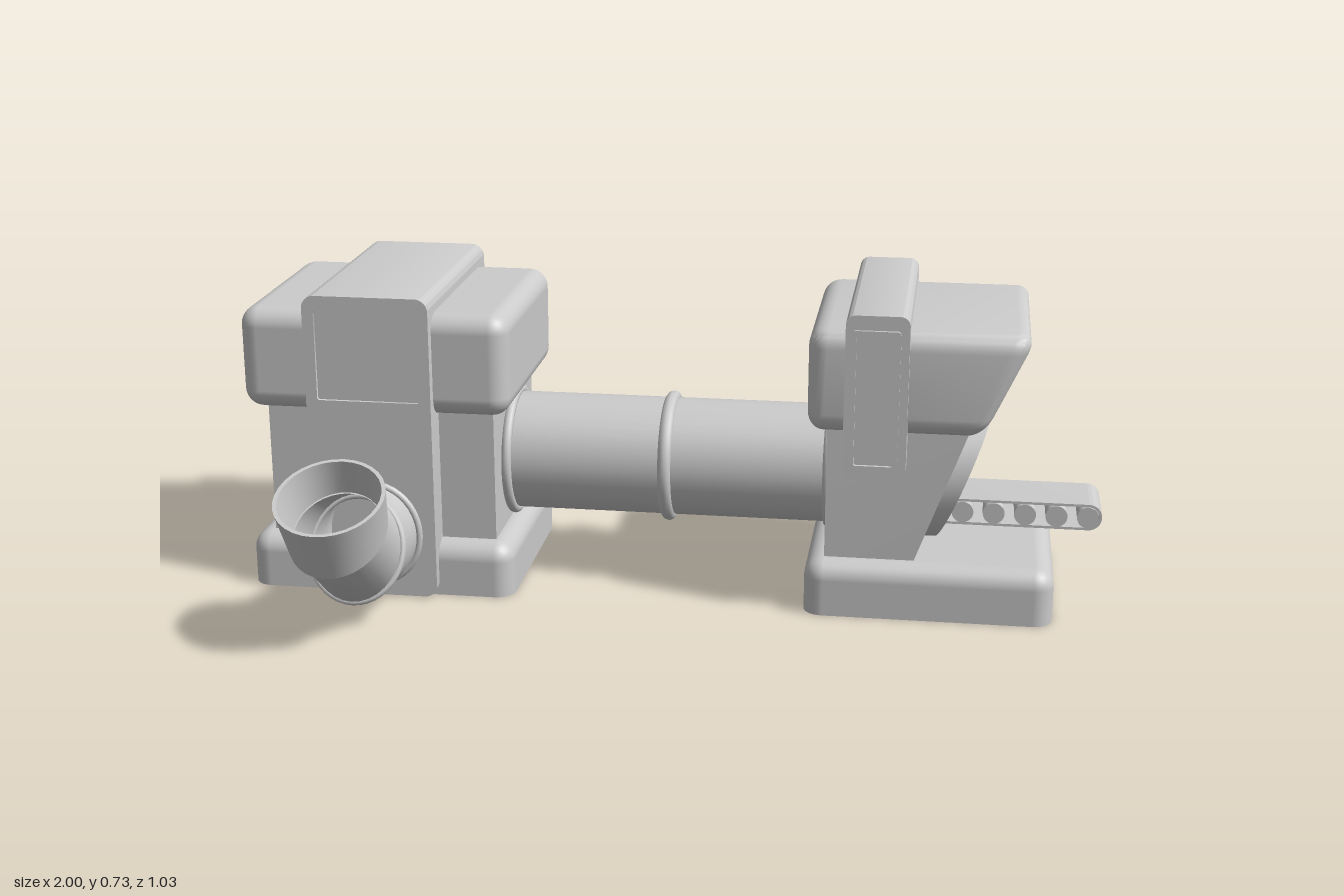
import * as THREE from 'three';
import { toCreasedNormals } from 'three/addons/utils/BufferGeometryUtils.js';
import { RoundedBoxGeometry } from 'three/addons/geometries/RoundedBoxGeometry.js';

const grey = new THREE.MeshStandardMaterial({ color: 0xcccccc, side: THREE.DoubleSide });
const TUBE_Y = 0.285, TUBE_Z = -0.232, TUBE_R = 0.141;

function add(parent, name, geometry) {
  const mesh = new THREE.Mesh(geometry, grey);
  mesh.name = name;
  parent.add(mesh);
  return mesh;
}

// Move every vertex by a rule
function warp(geo, rule) {
  const p = geo.attributes.position, v = new THREE.Vector3();
  for (let i = 0; i < p.count; i++) {
    rule(v.fromBufferAttribute(p, i));
    p.setXYZ(i, v.x, v.y, v.z);
  }
  return toCreasedNormals(geo, 0.6);
}

function boxBetween(x0, x1, y0, y1, z0, z1, r = 0) {
  const size = [x1 - x0, y1 - y0, z1 - z0];
  const geo = r ? new RoundedBoxGeometry(...size, 4, r) : new THREE.BoxGeometry(...size);
  return geo.translate((x0 + x1) / 2, (y0 + y1) / 2, (z0 + z1) / 2);
}

function roundRect(x0, x1, y0, y1, r, Kind = THREE.Shape) {
  const s = new Kind();
  s.moveTo(x0 + r, y0).lineTo(x1 - r, y0);
  s.absarc(x1 - r, y0 + r, r, -Math.PI / 2, 0);
  s.lineTo(x1, y1 - r).absarc(x1 - r, y1 - r, r, 0, Math.PI / 2);
  s.lineTo(x0 + r, y1).absarc(x0 + r, y1 - r, r, Math.PI / 2, Math.PI);
  s.lineTo(x0, y0 + r).absarc(x0 + r, y0 + r, r, Math.PI, Math.PI * 1.5);
  return s;
}

function circle(x, y, r, Kind = THREE.Path) {
  return new Kind().absarc(x, y, r, 0, Math.PI * 2, false);
}

function extrude(shape, z0, z1, curveSegments = 8) {
  const geo = new THREE.ExtrudeGeometry(shape, { depth: z1 - z0, bevelEnabled: false, curveSegments });
  return toCreasedNormals(geo.translate(0, 0, z0), 0.6);
}

// Rounded plinth, open underneath
function plinth(x0, x1) {
  const src = boxBetween(x0, x1, -0.13, 0.13, -0.49, 0.035, 0.045);
  const p = src.attributes.position, n = src.attributes.normal, pos = [], nor = [];
  for (let i = 0; i < p.count; i += 3) {
    if (Math.max(p.getY(i), p.getY(i + 1), p.getY(i + 2)) <= 0) continue;
    for (let k = i; k < i + 3; k++) {
      pos.push(p.getX(k), Math.max(0, p.getY(k)), p.getZ(k));
      nor.push(n.getX(k), n.getY(k), n.getZ(k));
    }
  }
  const geo = new THREE.BufferGeometry();
  geo.setAttribute('position', new THREE.Float32BufferAttribute(pos, 3));
  geo.setAttribute('normal', new THREE.Float32BufferAttribute(nor, 3));
  return geo;
}

// Skin through elliptical sections in the z-y plane: [z, y, tilt in degrees, radius, x radius]
function loftPipe(sections, cx, n = 32) {
  const pos = [], index = [];
  sections.forEach(([z, y, deg, r, rx], j) => {
    const a = THREE.MathUtils.degToRad(deg);
    for (let i = 0; i < n; i++) {
      const t = (i / n) * Math.PI * 2, u = Math.sin(t) * r;
      pos.push(cx + Math.cos(t) * rx, y + u * Math.cos(a), z - u * Math.sin(a));
      if (j) {
        const b = j * n + i, b2 = j * n + (i + 1) % n;
        index.push(b - n, b2 - n, b2, b - n, b2, b);
      }
    }
  });
  const geo = new THREE.BufferGeometry();
  geo.setAttribute('position', new THREE.Float32BufferAttribute(pos, 3));
  geo.setIndex(index);
  return toCreasedNormals(geo, 0.6);
}

function tubeRing(parent, name, x, r, thick) {
  const ring = add(parent, name, new THREE.TorusGeometry(r, thick, 10, 40));
  ring.rotation.y = Math.PI / 2;
  ring.position.set(x, TUBE_Y, TUBE_Z);
}

function tower() {
  const g = new THREE.Group();
  g.name = 'tower';
  add(g, 'towerPlinth', plinth(-1, -0.365));
  add(g, 'towerBody', boxBetween(-0.95, -0.41, 0.1, 0.48, -0.445, -0.01));
  add(g, 'towerRoof', boxBetween(-1, -0.365, 0.44, 0.682, -0.49, 0.035, 0.045));
  // Band wrapped front to back, with a recessed front panel
  add(g, 'towerBand', extrude(roundRect(-0.835, -0.54, 0.003, 0.725, 0.03), -0.515, 0.052));
  const face = roundRect(-0.835, -0.54, 0.003, 0.725, 0.03);
  face.holes.push(roundRect(-0.808, -0.567, 0.478, 0.69, 0.006, THREE.Path));
  add(g, 'towerBandFace', extrude(face, 0.052, 0.06));
  return g;
}

function spout() {
  const g = new THREE.Group();
  g.name = 'spout';
  const cx = -0.688;
  add(g, 'spoutPipe', loftPipe([
    [0.05, 0.157, 0, 0.119, 0.105], [0.1, 0.156, 5, 0.119, 0.105],
    [0.203, 0.172, 24, 0.124, 0.105], [0.335, 0.262, 60, 0.118, 0.105],
  ], cx));
  // Flared cup with a wall thickness
  add(g, 'spoutCup', loftPipe([
    [0.332, 0.26, 60, 0.112, 0.1], [0.332, 0.26, 60, 0.134, 0.11],
    [0.386, 0.36, 70, 0.134, 0.123], [0.386, 0.36, 70, 0.125, 0.114],
    [0.335, 0.264, 60, 0.112, 0.1],
  ], cx));
  const joint = add(g, 'spoutJointRing', new THREE.TorusGeometry(0.122, 0.008, 10, 40));
  joint.scale.x = 0.89;
  joint.position.set(cx, 0.172, 0.203);
  joint.rotation.x = -THREE.MathUtils.degToRad(24);
  const foot = add(g, 'spoutFootRing', new THREE.TorusGeometry(0.121, 0.009, 10, 40));
  foot.scale.x = 0.91;
  foot.position.set(cx, 0.157, 0.06);
  return g;
}

function tunnel() {
  const g = new THREE.Group();
  g.name = 'tunnel';
  const tube = add(g, 'tunnelTube', new THREE.CylinderGeometry(TUBE_R, TUBE_R, 0.8, 40, 1, true));
  tube.rotation.z = Math.PI / 2;
  tube.position.set(-0.01, TUBE_Y, TUBE_Z);
  tubeRing(g, 'tunnelMiddleRing', -0.022, 0.141, 0.016);
  tubeRing(g, 'tunnelStartRing', -0.4, 0.145, 0.012);
  tubeRing(g, 'tunnelEndRing', 0.363, 0.145, 0.012);
  return g;
}

function outlet() {
  const g = new THREE.Group();
  g.name = 'outlet';
  add(g, 'outletPlinth', plinth(0.32, 0.892));
  // Body with a round passage and a slanted end face
  const wall = roundRect(0.01, 0.445, 0.1, 0.48, 0.001);
  wall.holes.push(circle(-TUBE_Z, TUBE_Y, TUBE_R));
  add(g, 'outletBody', warp(extrude(wall, 0, 1, 20).rotateY(Math.PI / 2), v => {
    v.x = THREE.MathUtils.lerp(0.365, 0.628 + 0.365 * (v.y - TUBE_Y), v.x);
  }));
  // Slanted collar around the mouth
  const collar = circle(-TUBE_Z, TUBE_Y, 0.163, THREE.Shape);
  collar.holes.push(circle(-TUBE_Z, TUBE_Y, TUBE_R));
  add(g, 'mouthCollar', warp(extrude(collar, 0, 1, 20).rotateY(Math.PI / 2), v => {
    v.x = 0.6 + v.x * 0.076 + 0.39 * (v.y - TUBE_Y);
  }));
  // Roof overhanging the mouth
  const roof = boxBetween(0.32, 0.828, 0.44, 0.682, -0.49, 0.035, 0.045);
  add(g, 'outletRoof', warp(roof, v => {
    v.x -= ((v.x - 0.32) / 0.508) * (0.682 - v.y) * 0.46;
  }));
  add(g, 'outletBand', extrude(roundRect(0.405, 0.547, 0.343, 0.725, 0.022), -0.515, 0.06));
  const frame = roundRect(0.42, 0.528, 0.37, 0.692, 0.008);
  frame.holes.push(roundRect(0.43, 0.518, 0.38, 0.682, 0.005, THREE.Path));
  add(g, 'outletBandFrame', extrude(frame, 0.06, 0.068));
  return g;
}

function conveyor() {
  const g = new THREE.Group();
  g.name = 'conveyor';
  const belt = roundRect(0.55, 1, 0.174, 0.237, 0.031);
  belt.holes.push(roundRect(0.556, 0.994, 0.18, 0.231, 0.025, THREE.Path));
  add(g, 'conveyorBelt', extrude(belt, -0.305, -0.15));
  for (let i = 0; i < 6; i++) {
    const roller = add(g, 'conveyorRoller', new THREE.CylinderGeometry(0.0255, 0.0255, 0.161, 20));
    roller.rotation.x = Math.PI / 2;
    roller.position.set(0.968 - i * 0.0725, 0.2055, -0.2275);
  }
  return g;
}

export function createModel() {
  const model = new THREE.Group();
  model.name = 'tunnelMachine';
  model.add(tower(), spout(), tunnel(), outlet(), conveyor());
  return model;
}
